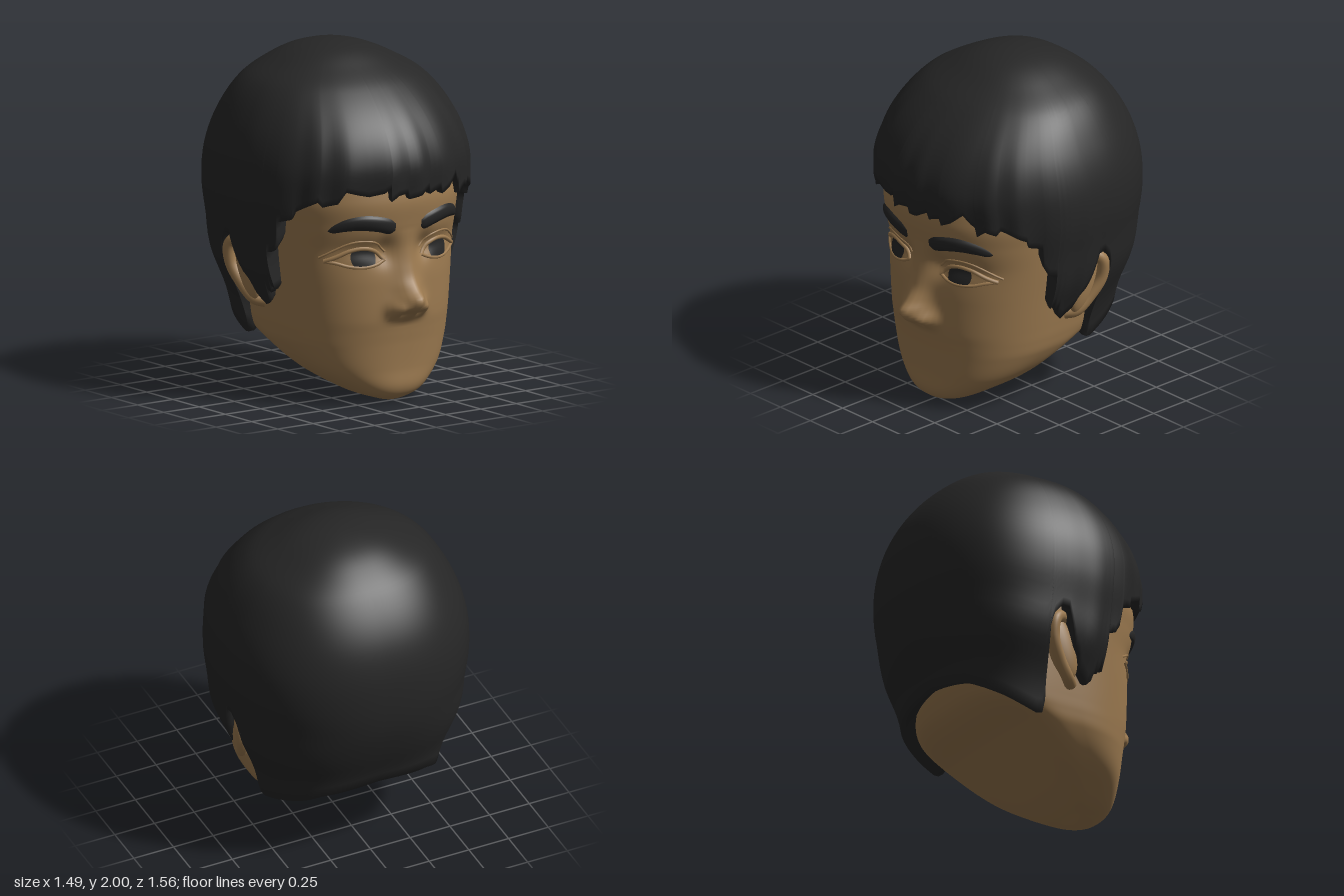
import * as THREE from 'three';
import { mergeVertices } from 'three/addons/utils/BufferGeometryUtils.js';

const mat = (name, color, side = THREE.FrontSide) => {
  const m = new THREE.MeshStandardMaterial({ color, side });
  m.name = name;
  return m;
};
const RAD = Math.PI / 180;
const clamp = (v) => Math.min(1, Math.max(0, v));
const bump = (dx, dy, sx, sy = sx) => Math.exp(-((dx / sx) ** 2) - (dy / sy) ** 2);

// Smooth interpolation in a table whose first column is the key
function sample(table, k) {
  let i = 0;
  while (i < table.length - 2 && k > table[i + 1][0]) i++;
  const a = table[i], b = table[i + 1], p = table[i - 1] || a, q = table[i + 2] || b;
  const h = b[0] - a[0], t = clamp((k - a[0]) / h);
  return a.slice(1).map((_, n) => {
    const c = n + 1;
    const m0 = (b[c] - p[c]) / (b[0] - p[0]) * h, m1 = (q[c] - a[c]) / (q[0] - a[0]) * h;
    const t2 = t * t, t3 = t2 * t;
    return (2 * t3 - 3 * t2 + 1) * a[c] + (t3 - 2 * t2 + t) * m0 + (3 * t2 - 2 * t3) * b[c] + (t3 - t2) * m1;
  });
}

// Surface from rows (top to bottom) and columns (left to right)
function grid(rows, cols, fn, closed) {
  const pos = [], index = [], across = closed ? cols : cols - 1;
  for (let i = 0; i < rows; i++) for (let j = 0; j < cols; j++) pos.push(...fn(i / (rows - 1), j));
  for (let i = 0; i < rows - 1; i++) for (let j = 0; j < across; j++) {
    const k = (j + 1) % cols, a = i * cols + j, b = i * cols + k, c = a + cols, d = b + cols;
    index.push(a, c, b, b, c, d);
  }
  let g = new THREE.BufferGeometry();
  g.setAttribute('position', new THREE.Float32BufferAttribute(pos, 3));
  g.setIndex(index);
  g = mergeVertices(g, 1e-5);
  g.computeVertexNormals();
  return g;
}

// Head sections: y, half width, front z, back z, z of widest point
const headTable = [
  [0, 0, 0.46, 0.44, 0.45], [0.02, 0.1, 0.54, 0.38, 0.44], [0.05, 0.19, 0.58, 0.3, 0.42],
  [0.1, 0.28, 0.6, 0.2, 0.36], [0.2, 0.41, 0.6, 0.03, 0.25], [0.34, 0.5, 0.61, -0.2, 0.12],
  [0.42, 0.52, 0.62, -0.37, 0.09], [0.5, 0.53, 0.63, -0.46, 0.08], [0.7, 0.55, 0.63, -0.55, 0.08],
  [0.9, 0.57, 0.625, -0.62, 0.08], [1.05, 0.58, 0.65, -0.65, 0.09], [1.2, 0.59, 0.66, -0.66, 0.08],
  [1.4, 0.55, 0.6, -0.62, 0.03], [1.6, 0.42, 0.42, -0.48, 0], [1.8, 0, -0.05, -0.05, -0.05],
].map(([y, ...v]) => [Math.sqrt(y), ...v]);
const noseTable = [ // y, height, half width
  [0.46, 0, 0.1], [0.49, 0.015, 0.1], [0.52, 0.06, 0.095], [0.57, 0.128, 0.085], [0.62, 0.15, 0.08],
  [0.67, 0.1, 0.078], [0.73, 0.055, 0.075], [0.8, 0.035, 0.07], [0.9, 0.02, 0.07], [1.02, 0, 0.07],
];
const FRONT_N = 2.3;

// Nose, nostrils and eye sockets pushed out of or into the face
function features(x, y) {
  const ax = Math.abs(x);
  let d = 0;
  if (y > 0.46 && y < 1.02) {
    const [h, w] = sample(noseTable, y);
    d += h * bump(ax, 0, w, 1);
  }
  d += 0.05 * bump(ax - 0.095, y - 0.565, 0.04, 0.045);
  d -= 0.035 * bump(ax - 0.05, y - 0.53, 0.022, 0.018);
  d -= 0.03 * bump(ax - 0.26, y - 0.89, 0.14, 0.07);
  d -= 0.03 * bump(ax - 0.13, y - 0.9, 0.06, 0.08);
  d += 0.014 * bump(ax - 0.28, y - 0.86, 0.09, 0.05);
  return d;
}
function faceZ(x, y) {
  const [w, zf, , zc] = sample(headTable, Math.sqrt(y));
  const r = clamp(1 - Math.abs(x / (w + 1e-9)) ** FRONT_N) ** (1 / FRONT_N);
  return zc + (zf - zc) * r + features(x, y);
}
function headPoint(u, j, cols) {
  const y = 1.8 * (1 - u) ** 1.5, a = (j / cols) * Math.PI * 2, s = Math.sin(a), c = Math.cos(a);
  const [w, zf, zb, zc] = sample(headTable, Math.sqrt(y));
  const n = c >= 0 ? FRONT_N : 2.2 + 2 * clamp((0.85 - y) / 0.4);
  const x = w * Math.sign(s) * Math.abs(s) ** (2 / n), r = Math.abs(c) ** (2 / n);
  return [x, y, c >= 0 ? zc + (zf - zc) * r + features(x, y) : zc + (zb - zc) * r];
}

// Hair sections: y, half width, front z, back z, centre z
const hairTable = [
  [2, 0, -0.09, -0.09, -0.09], [1.97, 0.2, 0.1, -0.3, -0.08], [1.9, 0.36, 0.25, -0.44, -0.06],
  [1.8, 0.52, 0.42, -0.56, -0.04], [1.6, 0.66, 0.62, -0.7, 0], [1.4, 0.73, 0.71, -0.765, 0],
  [1.2, 0.745, 0.7, -0.78, 0], [1, 0.72, 0.69, -0.76, 0], [0.8, 0.69, 0.68, -0.7, 0],
  [0.6, 0.61, 0.67, -0.62, 0], [0.5, 0.575, 0.66, -0.6, 0], [0.3, 0.53, 0.65, -0.585, 0],
].map(([y, ...v]) => [Math.sqrt(2 - y), ...v]);

// Hem of the hair: angle from the front in degrees, y
const fringe = [
  [-36, 1.2], [-32.5, 1.27], [-27, 1.25], [-22, 1.235], [-15, 1.25], [-12, 1.28], [-11.5, 1.2], [-8, 1.23],
  [-3, 1.235], [-2, 1.2], [4, 1.215], [9, 1.25], [10, 1.21], [16, 1.24], [17, 1.2], [22, 1.23], [28, 1.29],
  [31, 1.24], [33, 1.22], [34, 1.16], [38, 1.2],
];
const sideHem = [
  [43, 1.18], [45, 1.21], [52, 1.17], [57, 1.14], [58, 1.1], [65, 1.08], [66.5, 0.95], [69, 0.9], [73, 0.89],
  [73.5, 0.66], [75, 0.69], [76.5, 0.64], [78, 0.66], [79.5, 0.59], [82, 0.56], [87.5, 0.62], [91, 0.74],
  [93.5, 0.86], [95.5, 0.95], [98.5, 0.955], [101.5, 0.9], [103, 0.82], [103.6, 0.42], [105, 0.35], [108, 0.345],
  [126.5, 0.42], [153, 0.51], [180, 0.55],
];
function hemColumns() {
  const line = [...sideHem.map(([a, y]) => [-a, y]).reverse(), ...fringe, ...sideHem], out = [];
  for (let i = 0; i < line.length - 1; i++) {
    const [a0, y0] = line[i], [a1, y1] = line[i + 1];
    const n = Math.ceil(Math.hypot((a1 - a0) / 2.5, (y1 - y0) / 0.05));
    for (let k = 0; k < n; k++) out.push([a0 + (a1 - a0) * k / n, y0 + (y1 - y0) * k / n]);
  }
  return out;
}
function hairPoint(row, rows, [deg, hem]) {
  const last = rows - 3, t = Math.min(1, row / last), tuck = Math.max(0, row - last);
  const y = 2 - (2 - hem) * t * t, a = deg * RAD, s = Math.sin(a), c = Math.cos(a);
  const [w, zf, zb, zc] = sample(hairTable, Math.sqrt(2 - y));
  const n = c >= 0 ? 2 : 2.3 + 0.5 * clamp((1 - y) / 0.5);
  // Soft locks towards the fringe, then the edge tucks in under itself
  const lock = 1 + 0.012 * Math.sin(a * 21 + Math.sin(a * 8)) * t ** 4 * clamp(c * 1.5 + 0.3);
  const k = lock * [1, 0.95, 0.84][tuck];
  const x = w * Math.sign(s) * Math.abs(s) ** (2 / n) * k;
  let z = zc + ((c >= 0 ? zf : zb) - zc) * Math.abs(c) ** (2 / n) * k;
  const d = Math.abs(deg);
  if (d > 102) z += 0.13 * Math.max(0, 0.85 - y) * clamp(1 - (d - 102) / 40);
  return [x, y + [0, 0.005, 0.06][tuck], z];
}

// Plate lying on the face between a lower and an upper curve of |x|
function facePlate(side, x0, x1, lo, hi, lift, cols = 28, rows = 9) {
  return grid(rows, cols, (v, j) => {
    const u = j / (cols - 1), ax = side > 0 ? x0 + (x1 - x0) * u : x1 + (x0 - x1) * u;
    const y = hi(ax) + (lo(ax) - hi(ax)) * v;
    return [side * ax, y, faceZ(ax, y) + lift(v, u)];
  }, false);
}
const curveOf = (pts) => {
  const table = pts.map(([x, y]) => [x, y]);
  return (x) => sample(table, x)[0];
};
const upperLid = curveOf([[0.13, 0.845], [0.18, 0.895], [0.25, 0.92], [0.33, 0.91], [0.4, 0.875], [0.45, 0.85]]);
const lowerLid = curveOf([[0.13, 0.845], [0.18, 0.825], [0.26, 0.812], [0.34, 0.82], [0.4, 0.84], [0.45, 0.85]]);
const crease = curveOf([[0.12, 0.89], [0.18, 0.945], [0.26, 0.965], [0.34, 0.955], [0.41, 0.915], [0.47, 0.87]]);
const browTop = curveOf([[0.09, 1.06], [0.13, 1.09], [0.22, 1.115], [0.3, 1.12], [0.38, 1.1], [0.43, 1.065], [0.45, 1.035]]);
const browLow = curveOf([[0.09, 1.02], [0.12, 1.0], [0.2, 1.02], [0.3, 1.035], [0.38, 1.03], [0.43, 1.02], [0.45, 1.03]]);

function faceTube(side, x0, x1, curve, radius) {
  const pts = [];
  for (let i = 0; i <= 14; i++) {
    const x = x0 + (x1 - x0) * i / 14, y = curve(x);
    pts.push(new THREE.Vector3(side * x, y, faceZ(x, y)));
  }
  return new THREE.TubeGeometry(new THREE.CatmullRomCurve3(pts), 36, radius, 8);
}

export function createModel() {
  const model = new THREE.Group();
  const skin = mat('skin', 0x9c7a50), black = mat('hair black', 0x262626, THREE.DoubleSide);
  const add = (name, geometry, material, parent = model) => {
    const m = new THREE.Mesh(geometry, material);
    m.name = name;
    parent.add(m);
    return m;
  };

  add('head', grid(150, 170, (u, j) => headPoint(u, j, 170), true), skin);

  const columns = hemColumns(), rows = 48;
  add('hair', grid(rows, columns.length,
    (u, j) => hairPoint(Math.round(u * (rows - 1)), rows, columns[j]), true), black);

  for (const side of [1, -1]) {
    const label = side > 0 ? 'left' : 'right';
    // Eyebrow, slightly domed
    add(label + 'Eyebrow', facePlate(side, 0.09, 0.45, browLow, browTop,
      (v, u) => 0.004 + 0.022 * Math.sqrt(Math.sin(Math.PI * clamp(v)) * Math.sin(Math.PI * clamp(u)) + 1e-6)), black);
    // Iris cut off by the lids
    const arc = (x) => 0.072 * Math.sqrt(clamp(1 - ((x - 0.26) / 0.073) ** 2));
    add(label + 'Iris', facePlate(side, 0.187, 0.333, (x) => Math.max(0.868 - arc(x), lowerLid(x)),
      (x) => Math.min(0.868 + arc(x), upperLid(x)), () => 0.005), black);
    // Eyelids
    add(label + 'UpperLid', faceTube(side, 0.13, 0.45, upperLid, 0.013), skin);
    add(label + 'LowerLid', faceTube(side, 0.13, 0.45, lowerLid, 0.01), skin);
    add(label + 'LidCrease', faceTube(side, 0.12, 0.47, crease, 0.007), skin);

    // Ear: flattened body with a curled rim
    const ear = new THREE.Group();
    ear.name = label + 'Ear';
    model.add(ear);
    const body = add('earBody', new THREE.SphereGeometry(1, 28, 20), skin, ear);
    body.scale.set(0.05, 0.2, 0.09);
    body.position.set(side * 0.595, 0.75, -0.08);
    body.rotation.x = -0.3;
    const rim = [[0.55, 0.9, -0.03], [0.62, 0.925, -0.1], [0.66, 0.88, -0.165], [0.65, 0.77, -0.17],
      [0.62, 0.66, -0.11], [0.585, 0.575, -0.03], [0.54, 0.56, 0.02]];
    const path = new THREE.CatmullRomCurve3(rim.map(([x, y, z]) => new THREE.Vector3(side * x, y, z)));
    add('earRim', new THREE.TubeGeometry(path, 48, 0.036, 14), skin, ear);
  }
  return model;
}
